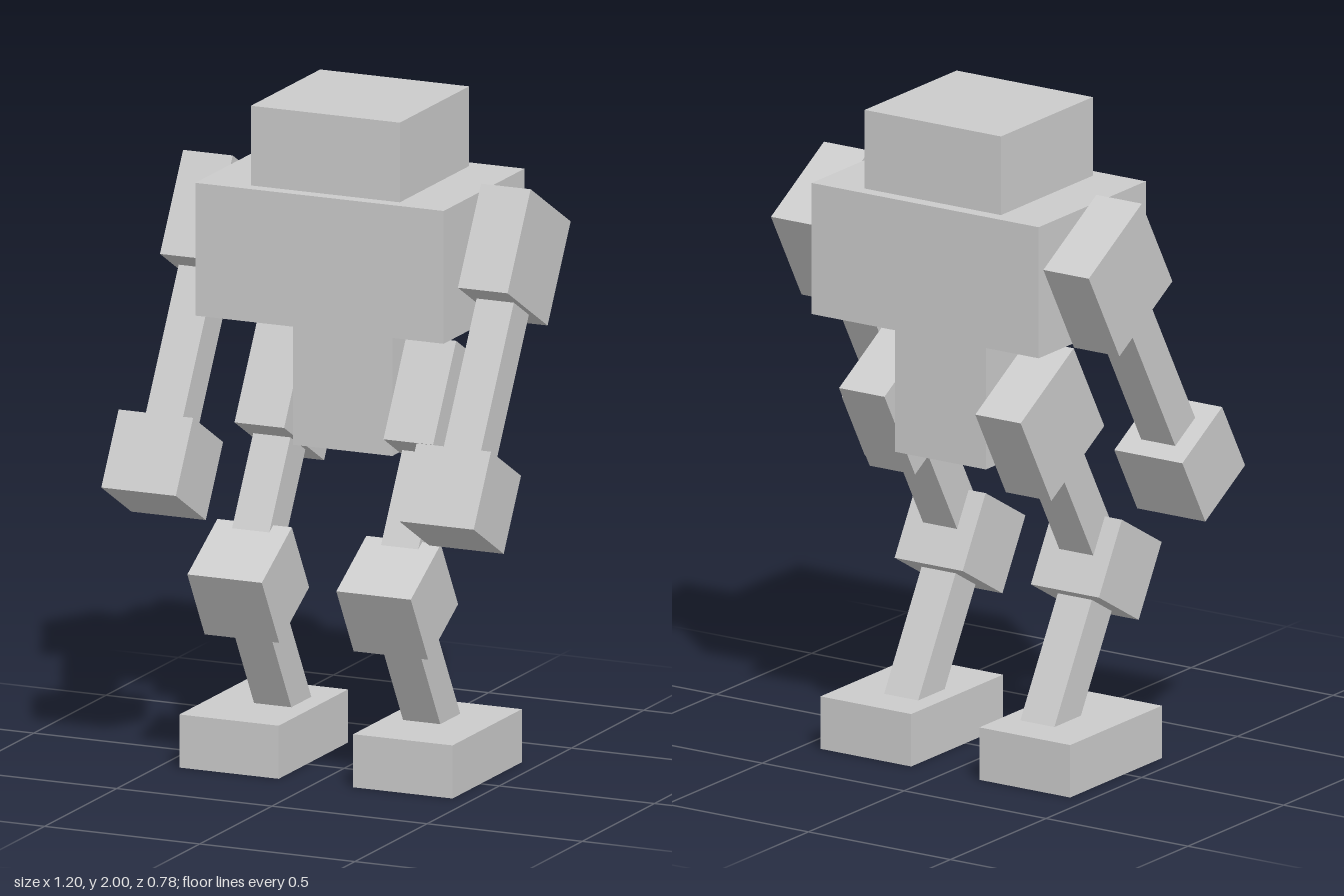
import * as THREE from 'three';

const material = new THREE.MeshStandardMaterial({ color: 0xcccccc, flatShading: true });
const BEND = Math.PI / 6;

function box(parent, name, [w, h, d], [x, y, z]) {
  const mesh = new THREE.Mesh(new THREE.BoxGeometry(w, h, d), material);
  mesh.name = name;
  mesh.position.set(x, y, z);
  parent.add(mesh);
  return mesh;
}

// A joint group: its limb hangs down local -y and swings about x
function joint(parent, name, [x, y, z], angle) {
  const group = new THREE.Group();
  group.name = name;
  group.position.set(x, y, z);
  group.rotation.x = angle;
  parent.add(group);
  return group;
}

// Square bar between two distances below the joint
function bar(parent, name, from, to) {
  return box(parent, name, [0.12, to - from, 0.12], [0, -(from + to) / 2, 0]);
}

function addArm(model, side, label) {
  const arm = joint(model, label + 'Arm', [side * 0.48, 1.565, -0.147], -BEND);
  box(arm, label + 'Shoulder', [0.16, 0.32, 0.32], [0, 0, 0]);
  bar(arm, label + 'ArmBar', 0.14, 0.65);
  box(arm, label + 'Hand', [0.24, 0.24, 0.24], [0, -0.75, 0]);
}

function addLeg(model, side, label) {
  // Thigh swings forward from the hip
  const thigh = joint(model, label + 'UpperLeg', [side * 0.24, 1.083, -0.147], -BEND);
  box(thigh, label + 'Hip', [0.16, 0.32, 0.32], [0, 0, 0]);
  bar(thigh, label + 'Thigh', 0.14, 0.5);

  // Shin swings back from the knee down into the foot
  const shin = joint(model, label + 'LowerLeg', [side * 0.24, 0.573, 0.148], BEND);
  box(shin, label + 'Knee', [0.24, 0.24, 0.24], [0, 0, 0]);
  bar(shin, label + 'Shin', 0.1, 0.54);

  box(model, label + 'Foot', [0.32, 0.16, 0.48], [side * 0.28, 0.08, -0.045]);
}

export function createModel() {
  const model = new THREE.Group();
  model.name = 'blockRobot';

  // Body
  box(model, 'head', [0.48, 0.24, 0.48], [0, 1.88, -0.11]);
  box(model, 'chest', [0.8, 0.4, 0.56], [0, 1.56, -0.11]);
  box(model, 'pelvis', [0.32, 0.4, 0.32], [0, 1.16, -0.15]);

  // Limbs, mirrored
  for (const [side, label] of [[1, 'left'], [-1, 'right']]) {
    addArm(model, side, label);
    addLeg(model, side, label);
  }
  return model;
}
